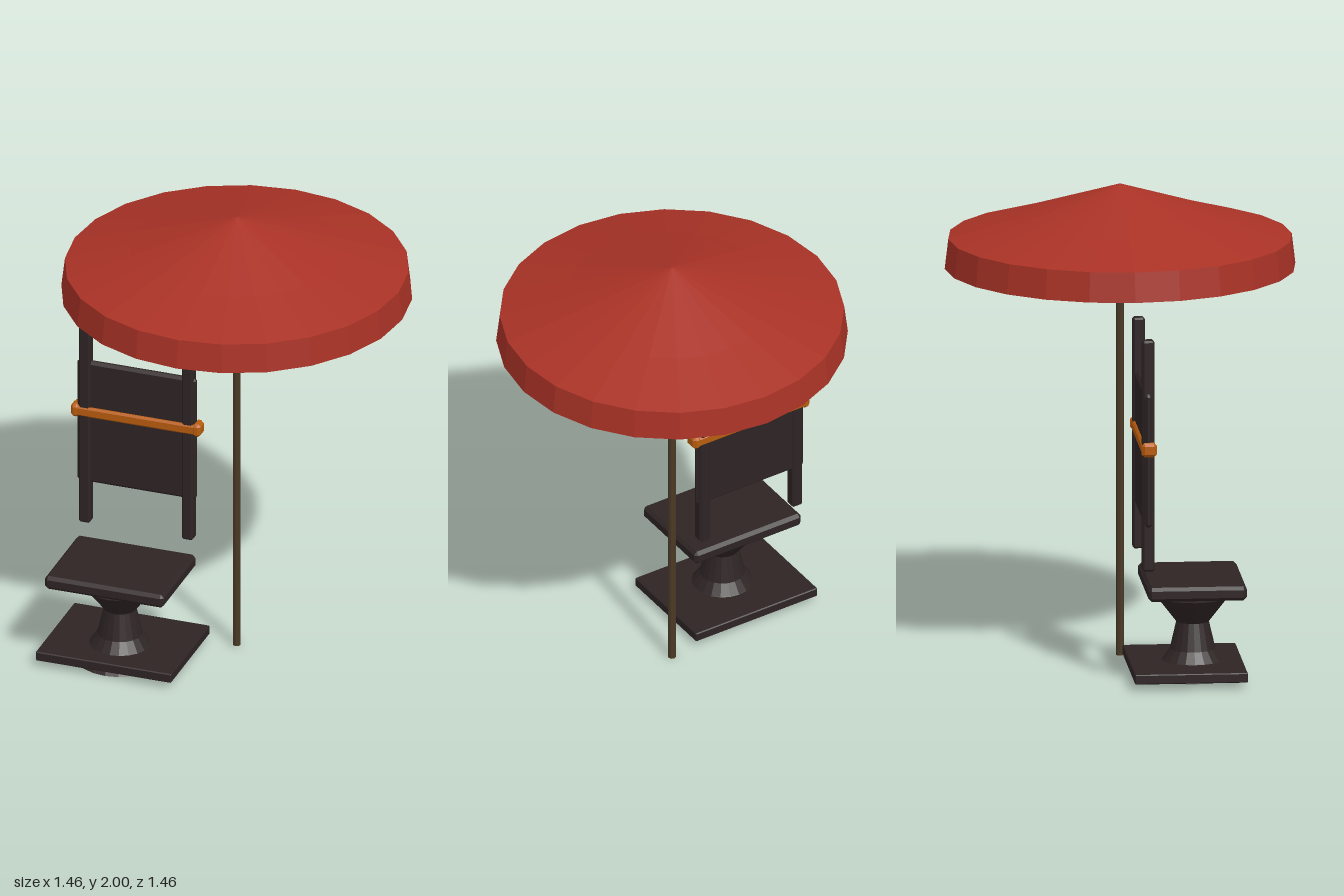
import * as THREE from 'three';
import { ConvexGeometry } from 'three/addons/geometries/ConvexGeometry.js';

const material = (name, color) => {
  const m = new THREE.MeshStandardMaterial({ color });
  m.name = name;
  return m;
};

// Box with chamfered edges, given by its lower and upper corners
function chamferBox([x0, y0, z0], [x1, y1, z1], c) {
  const h = [(x1 - x0) / 2, (y1 - y0) / 2, (z1 - z0) / 2];
  const points = [];
  for (const sx of [-1, 1]) for (const sy of [-1, 1]) for (const sz of [-1, 1]) {
    for (let axis = 0; axis < 3; axis++) {
      const [x, y, z] = h.map((v, i) => (i === axis ? v : v - c));
      points.push(new THREE.Vector3(sx * x, sy * y, sz * z));
    }
  }
  return new ConvexGeometry(points).translate((x0 + x1) / 2, (y0 + y1) / 2, (z0 + z1) / 2);
}

// Faceted solid turned from [radius, height] pairs, bottom to top
function turned(profile, sides) {
  const points = profile.map(([r, y]) => new THREE.Vector2(r, y));
  const g = new THREE.LatheGeometry(points, sides).toNonIndexed();
  g.computeVertexNormals();
  return g;
}

export function createModel() {
  const red = material('canopyRed', 0xa93226);
  const dark = material('darkBrown', 0x2e2424);
  const orange = material('orange', 0xb85c0e);
  const wood = material('poleBrown', 0x4a3925);

  const model = new THREE.Group();
  model.name = 'parasolAndChair';
  const add = (parent, name, geometry, mat) => {
    const mesh = new THREE.Mesh(geometry, mat);
    mesh.name = name;
    parent.add(mesh);
    return mesh;
  };

  // Parasol: shallow cone with a flared valance and flat underside
  const parasol = new THREE.Group();
  parasol.name = 'parasol';
  model.add(parasol);
  add(parasol, 'canopy', turned([[0, 1.65], [0.73, 1.65], [0.715, 1.776], [0.445, 1.856], [0, 2]], 24), red);
  add(parasol, 'pole', turned([[0, 0], [0.017, 0], [0.017, 1.66], [0, 1.66]], 8), wood);

  // Chair
  const chair = new THREE.Group();
  chair.name = 'chair';
  model.add(chair);

  const pedestal = add(chair, 'pedestal', turned(
    [[0, 0], [0.188, 0], [0.127, 0.07], [0.095, 0.115], [0.068, 0.23], [0.15, 0.336], [0, 0.336]], 20), dark);
  pedestal.position.set(-0.418, 0, 0.265);

  add(chair, 'basePlate', chamferBox([-0.717, 0.027, 0], [-0.119, 0.068, 0.47], 0.004), dark);
  add(chair, 'seat', chamferBox([-0.68, 0.366, 0.06], [-0.155, 0.426, 0.47], 0.014), dark);

  // Backrest with two uprights
  add(chair, 'backPanel', chamferBox([-0.68, 0.683, 0.044], [-0.155, 1.247, 0.077], 0.012), dark);
  for (const x of [-0.643, -0.189]) {
    add(chair, 'backPost', chamferBox([x - 0.025, 0.495, 0.035], [x + 0.025, 1.473, 0.086], 0.008), dark);
  }

  // Crossbar with thicker ends
  add(chair, 'crossbar', chamferBox([-0.69, 0.992, 0.032], [-0.142, 1.037, 0.091], 0.008), orange);
  for (const x of [-0.684, -0.148]) {
    add(chair, 'crossbarEnd', chamferBox([x - 0.019, 0.985, 0.029], [x + 0.019, 1.045, 0.094], 0.013), orange);
  }

  return model;
}
